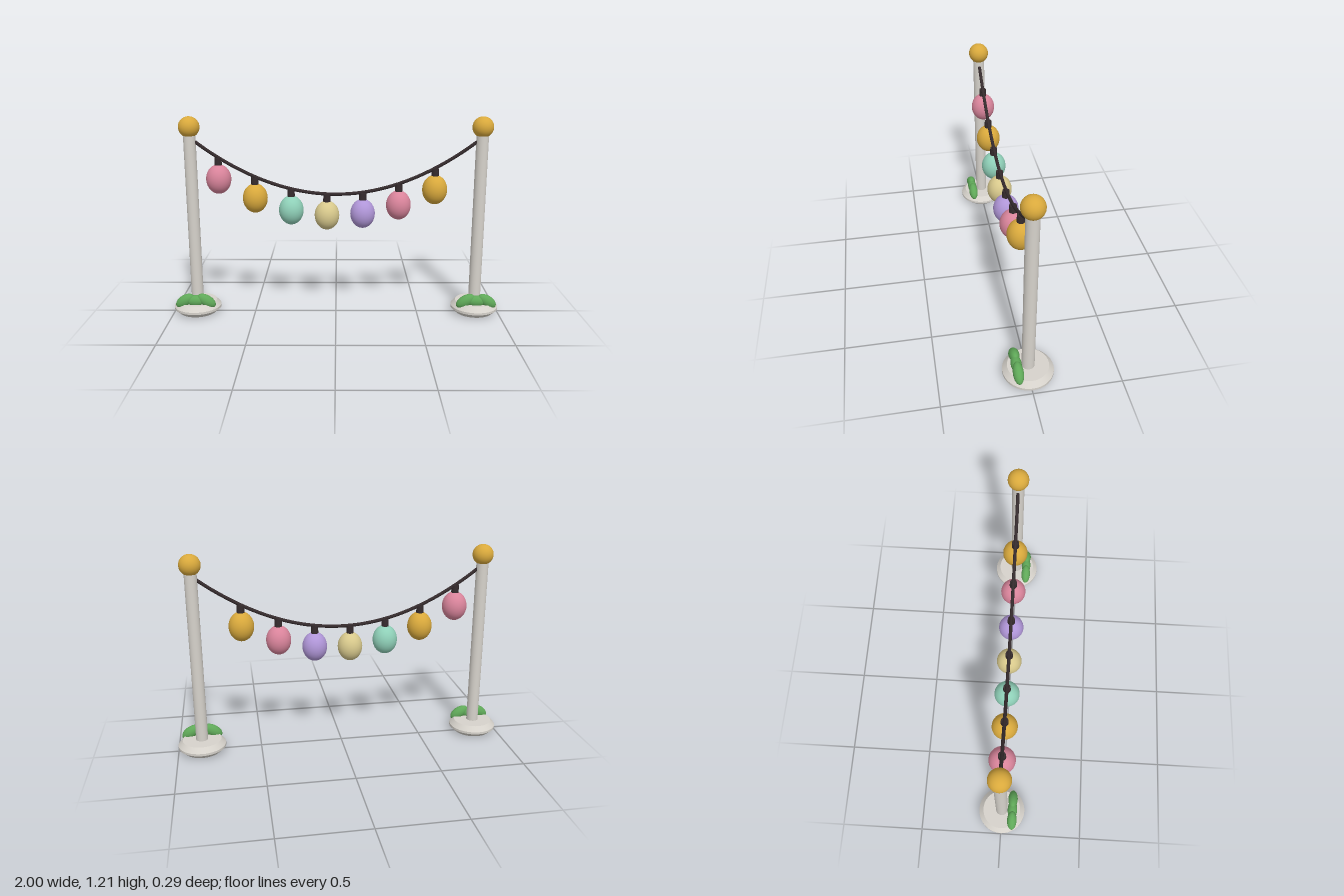
import * as THREE from 'three';

const mat = (name, color) => {
  const m = new THREE.MeshStandardMaterial({ color });
  m.name = name;
  return m;
};

export function createModel() {
  const root = new THREE.Group();
  root.name = 'lanternGarland';
  const stone = mat('paleStone', 0xd6d2cb);
  const gold = mat('gold', 0xd9a93c);
  const dark = mat('darkCable', 0x352b2d);
  const green = mat('leafGreen', 0x5fa858);
  const pink = mat('pink', 0xd9849b);
  const mint = mat('mint', 0x8fd0b8);
  const cream = mat('cream', 0xd8c98c);
  const violet = mat('violet', 0xb096d8);

  const add = (parent, name, geo, material, x, y, z) => {
    const mesh = new THREE.Mesh(geo, material);
    mesh.name = name;
    mesh.position.set(x, y, z);
    parent.add(mesh);
    return mesh;
  };

  const POST_X = 0.857;
  const cableY = (x) => 0.745 + 0.46 * x * x;
  const ball = new THREE.SphereGeometry(1, 32, 20);

  // Foot outline: flared underside, narrow rim, bevelled top
  const footProfile = [[0.112, 0], [0.143, 0.028], [0.143, 0.042], [0.116, 0.072]];

  // Two posts, each with a foot, a gold finial and three leaves
  for (const side of [-1, 1]) {
    const post = new THREE.Group();
    post.name = side < 0 ? 'rightPost' : 'leftPost';
    post.position.x = side * POST_X;
    root.add(post);

    for (let i = 0; i < 3; i++) {
      const [r0, y0] = footProfile[i];
      const [r1, y1] = footProfile[i + 1];
      add(post, 'footRing', new THREE.CylinderGeometry(r1, r0, y1 - y0, 40, 1, true), stone, 0, (y0 + y1) / 2, 0);
    }
    add(post, 'footTop', new THREE.CircleGeometry(0.116, 40), stone, 0, 0.072, 0).rotation.x = -Math.PI / 2;
    add(post, 'footUnderside', new THREE.CircleGeometry(0.112, 40), stone, 0, 0, 0).rotation.x = Math.PI / 2;
    add(post, 'shaft', new THREE.CylinderGeometry(0.036, 0.036, 1.06, 28), stone, 0, 0.59, 0);
    add(post, 'finial', ball, gold, 0, 1.146, 0).scale.setScalar(0.062);

    for (const k of [-1, 0, 1]) {
      const leaf = add(post, 'leaf', ball, green, k * 0.066, 0.091, 0.067);
      leaf.scale.set(0.0625, 0.035, 0.03);
      leaf.rotation.z = -k * 0.57;
    }
  }

  // Sagging cable between the posts
  const points = [];
  for (let i = 0; i <= 16; i++) {
    const x = POST_X * (i / 8 - 1);
    points.push(new THREE.Vector3(x, cableY(x), 0));
  }
  const curve = new THREE.CatmullRomCurve3(points);
  add(root, 'cable', new THREE.TubeGeometry(curve, 64, 0.01, 10), dark, 0, 0, 0);

  // Lanterns hanging at even steps, each with a dark socket
  const socket = new THREE.CylinderGeometry(0.021, 0.023, 0.055, 16);
  [pink, gold, mint, cream, violet, pink, gold].forEach((material, i) => {
    const x = -0.695 + i * 0.2138;
    const lantern = new THREE.Group();
    lantern.name = 'lantern' + (i + 1);
    lantern.position.set(x, cableY(x), 0);
    root.add(lantern);
    add(lantern, 'socket', socket, dark, 0, -0.03, 0);
    add(lantern, 'bulb', ball, material, 0, -0.13, 0).scale.set(0.074, 0.088, 0.074);
  });

  return root;
}
